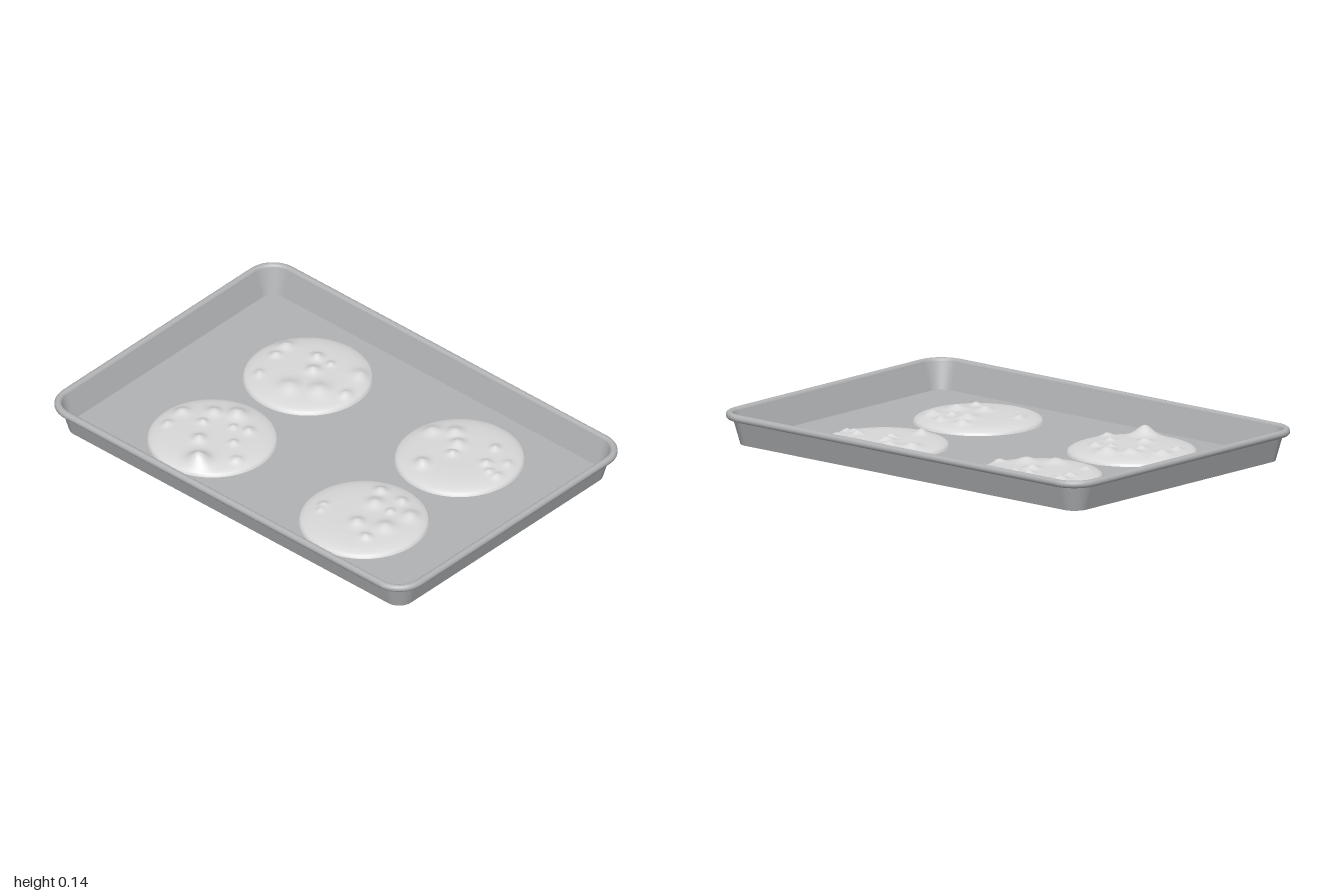
import * as THREE from 'three';
import { mergeVertices } from 'three/addons/utils/BufferGeometryUtils.js';

const FLOOR_X = 0.935, FLOOR_Z = 0.635, CORNER = 0.06, FLOOR_Y = 0.012;

// Rounded rectangle around the floor, grown outwards by d; returns [x, z] points
function roundedRing(d, steps = 10) {
  const points = [];
  const r = CORNER + d;
  [[1, 1], [-1, 1], [-1, -1], [1, -1]].forEach(([sx, sz], corner) => {
    for (let i = 0; i <= steps; i++) {
      const a = (corner + i / steps) * Math.PI / 2;
      points.push([
        sx * (FLOOR_X - CORNER) + r * Math.cos(a),
        sz * (FLOOR_Z - CORNER) + r * Math.sin(a),
      ]);
    }
  });
  return points;
}

// Sweeps a profile of [offset, height] pairs around the tray
function sweepGeometry(profile) {
  const positions = [], index = [];
  let n = 0;
  for (const [d, y] of profile) {
    const ring = roundedRing(d);
    n = ring.length;
    for (const [x, z] of ring) positions.push(x, y, z);
  }
  for (let j = 0; j < profile.length - 1; j++) {
    for (let i = 0; i < n; i++) {
      const a = j * n + i, b = j * n + (i + 1) % n;
      index.push(a, a + n, b, b, a + n, b + n);
    }
  }
  const geometry = new THREE.BufferGeometry();
  geometry.setAttribute('position', new THREE.Float32BufferAttribute(positions, 3));
  geometry.setIndex(index);
  geometry.computeVertexNormals();
  return geometry;
}

// Flat sheet filling the ring, facing up (1) or down (-1)
function sheetGeometry(d, y, facing) {
  const shape = new THREE.Shape(roundedRing(d).map(([x, z]) => new THREE.Vector2(x, z)));
  return new THREE.ShapeGeometry(shape).rotateX(-facing * Math.PI / 2).translate(0, y, 0);
}

// Domed round with soft bumps: [x, z, radius, optional height]
function cookieGeometry(bumps) {
  const R = 0.27, H = 0.034, rings = 40;
  const profile = [];
  for (let i = 0; i <= rings; i++) {
    const t = 1 - Math.pow(i / rings, 1.6) * 0.5 - (i / rings) * 0.5;
    profile.push(new THREE.Vector2(R * t, H * Math.sqrt(Math.max(0, 1 - t ** 4))));
  }
  let geometry = new THREE.LatheGeometry(profile, 96);
  geometry.deleteAttribute('uv');
  geometry.deleteAttribute('normal');
  geometry = mergeVertices(geometry, 1e-5);
  const p = geometry.attributes.position;
  for (let i = 0; i < p.count; i++) {
    const x = p.getX(i), z = p.getZ(i);
    const fade = Math.max(0, 1 - (Math.hypot(x, z) / R) ** 10);
    let rise = 0;
    for (const [bx, bz, r, h = Math.min(0.5 * r, 0.018)] of bumps) {
      const q = ((x - bx) ** 2 + (z - bz) ** 2) / (r * r);
      rise = Math.max(rise, h * Math.exp(-2.2 * q));
    }
    p.setY(i, p.getY(i) + rise * fade);
  }
  geometry.computeVertexNormals();
  return geometry;
}

// Bumps on each round, relative to its centre
const backRightBumps = [
  [-0.19, -0.07, 0.045], [-0.175, 0.005, 0.03], [0.04, -0.095, 0.024], [-0.14, 0.145, 0.028],
  [0.225, 0.01, 0.035], [-0.035, -0.095, 0.035], [0.015, -0.015, 0.04], [0.02, 0.135, 0.065],
  [0.125, 0.07, 0.065], [0.18, -0.13, 0.055],
];
const backLeftBumps = [
  [0.09, -0.118, 0.03], [0.197, -0.08, 0.026], [0.133, -0.016, 0.03], [0.22, 0.012, 0.028],
  [-0.015, 0.027, 0.03], [-0.064, 0.16, 0.042, 0.022], [-0.107, -0.09, 0.05],
  [-0.187, -0.037, 0.05], [-0.043, -0.037, 0.045], [0.18, 0.015, 0.024],
];
const frontRightBumps = [
  [-0.01, -0.165, 0.055, 0.024], [-0.09, -0.11, 0.045], [0.104, -0.11, 0.032], [0.04, -0.085, 0.024],
  [-0.077, -0.027, 0.028], [-0.195, -0.027, 0.042], [0.115, -0.005, 0.027], [0.2, 0.07, 0.032],
  [-0.01, 0.07, 0.04], [-0.184, 0.075, 0.028], [0.088, 0.182, 0.065, 0.045],
];
const frontLeftBumps = [
  [-0.06, -0.17, 0.037], [0.15, -0.123, 0.05], [-0.016, -0.085, 0.05], [0.07, -0.085, 0.026],
  [0.128, 0.01, 0.055], [0.02, 0.064, 0.045], [-0.17, 0.064, 0.028], [0.112, 0.112, 0.03],
  [-0.155, 0.096, 0.024], [0.053, -0.176, 0.032],
];

export function createModel() {
  const metal = new THREE.MeshStandardMaterial({ color: 0xb0b2b4 });
  metal.name = 'tray grey';
  const dough = new THREE.MeshStandardMaterial({ color: 0xd8d8d8 });
  dough.name = 'pale dough';

  const model = new THREE.Group();
  model.name = 'bakingTray';
  const add = (name, geometry, material) => {
    const mesh = new THREE.Mesh(geometry, material);
    mesh.name = name;
    model.add(mesh);
    return mesh;
  };

  // Tray: base, sloped walls, rolled rim and floor
  const rim = [];
  for (let i = 0; i <= 14; i++) {
    const a = THREE.MathUtils.degToRad(-140 + 320 * i / 14);
    rim.push([0.049 + 0.016 * Math.cos(a), 0.122 + 0.016 * Math.sin(a)]);
  }
  add('base', sheetGeometry(0.005, 0, -1), metal);
  add('outerWall', sweepGeometry([[0.005, 0], rim[0]]), metal);
  add('rolledRim', sweepGeometry(rim), metal);
  add('innerWall', sweepGeometry([rim[14], [0, FLOOR_Y]]), metal);
  add('floor', sheetGeometry(0, FLOOR_Y, 1), metal);

  // Four bumpy rounds on the floor
  const cookies = [
    ['cookieBackRight', -1, -1, backRightBumps],
    ['cookieBackLeft', 1, -1, backLeftBumps],
    ['cookieFrontRight', -1, 1, frontRightBumps],
    ['cookieFrontLeft', 1, 1, frontLeftBumps],
  ];
  for (const [name, sx, sz, bumps] of cookies) {
    add(name, cookieGeometry(bumps), dough).position.set(sx * 0.422, FLOOR_Y, sz * 0.292);
  }
  return model;
}
